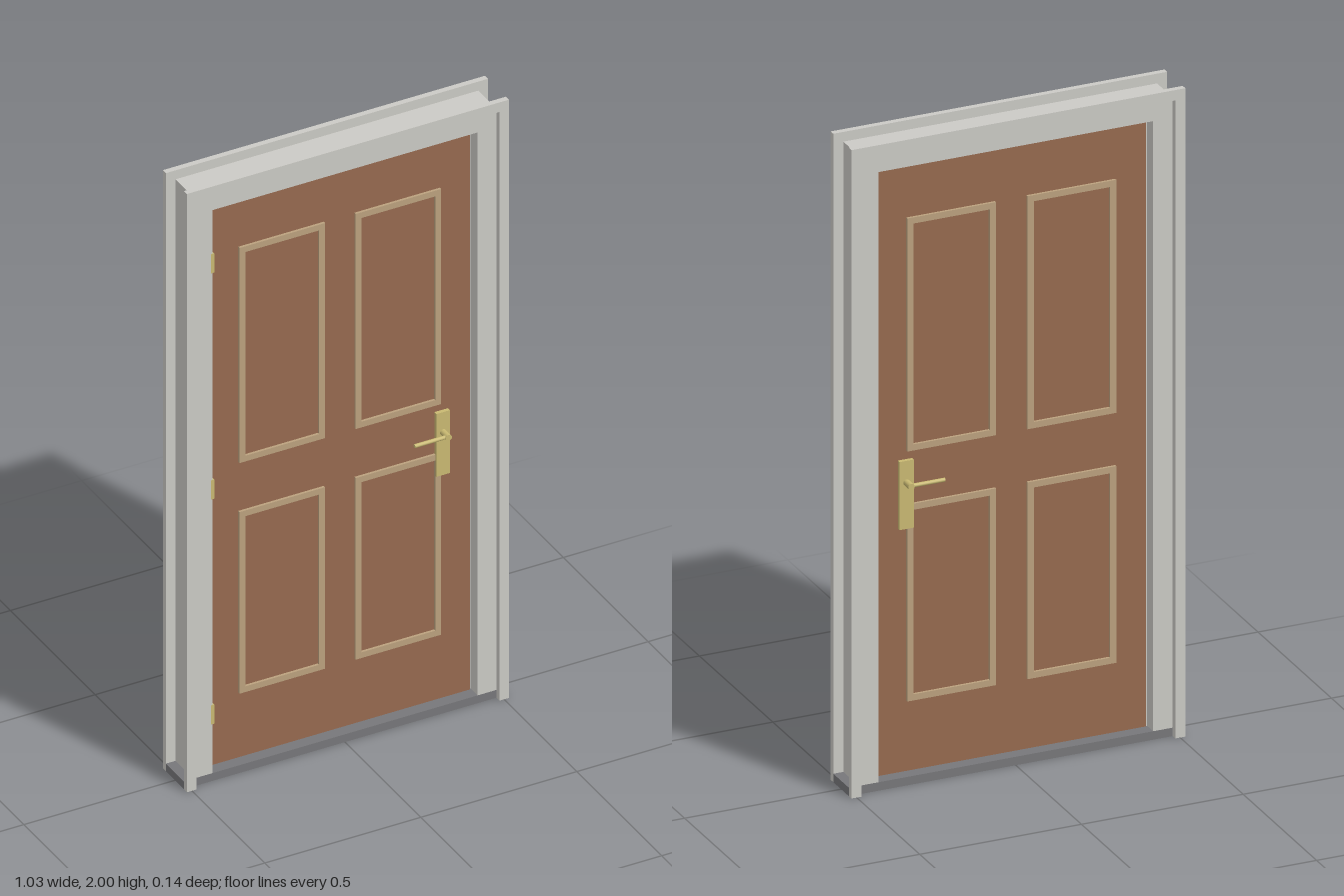
import * as THREE from 'three';

const material = (name, color) => {
  const m = new THREE.MeshStandardMaterial({ color });
  m.name = name;
  return m;
};

export function createModel() {
  const model = new THREE.Group();
  model.name = 'door';
  const paint = material('frame grey', 0xcbcac5);
  const wood = material('door brown', 0x966a4f);
  const beige = material('moulding beige', 0xbba17e);
  const brass = material('brass', 0xc9b972);
  const dark = material('sill grey', 0x77777a);

  // Box given by its limits along each axis
  const box = (name, mat, x0, x1, y0, y1, z0, z1, parent = model) => {
    const mesh = new THREE.Mesh(new THREE.BoxGeometry(x1 - x0, y1 - y0, z1 - z0), mat);
    mesh.position.set((x0 + x1) / 2, (y0 + y1) / 2, (z0 + z1) / 2);
    mesh.name = name;
    parent.add(mesh);
    return mesh;
  };

  const outer = 0.516, mid = 0.485, inner = 0.425;
  const depth = 0.053, trimDepth = 0.071, face = 0.018;

  // Sill and door leaf
  box('sill', dark, -outer, outer, 0, 0.026, -depth, depth);
  box('doorLeaf', wood, -0.419, 0.419, 0.028, 1.905, -face, face);

  // Jambs, with a narrow stop closing the gap beside the leaf
  for (const s of [-1, 1]) {
    const c = s * (mid + inner) / 2, h = (mid - inner) / 2;
    box('jamb', paint, c - h, c + h, 0.026, 1.97, -depth, depth);
    box('stop', paint, s * 0.422 - 0.003, s * 0.422 + 0.003, 0.026, 1.908, -0.012, 0.012);
  }
  box('headJamb', paint, -inner, inner, 1.908, 1.97, -depth, depth);

  // Moulding: rectangular ring standing on one face of the leaf
  const moulding = (x0, x1, y0, y1, parent) => {
    const w = 0.019;
    const rect = (P, a, b, c, d) => {
      const p = new P();
      p.moveTo(a, c).lineTo(b, c).lineTo(b, d).lineTo(a, d).closePath();
      return p;
    };
    const ring = rect(THREE.Shape, x0, x1, y0, y1);
    ring.holes.push(rect(THREE.Path, x0 + w, x1 - w, y0 + w, y1 - w));
    const mesh = new THREE.Mesh(
      new THREE.ExtrudeGeometry(ring, { depth: 0.008, bevelEnabled: false }), beige);
    mesh.position.z = face;
    mesh.name = 'panelMoulding';
    parent.add(mesh);
  };

  // Each side carries trim, mouldings and a handle
  for (const side of [1, -1]) {
    const group = new THREE.Group();
    group.name = side > 0 ? 'frontSide' : 'backSide';
    if (side < 0) group.rotation.y = Math.PI;
    model.add(group);

    for (const s of [-1, 1]) {
      const c = s * (outer + mid) / 2, h = (outer - mid) / 2;
      box('sideTrim', paint, c - h, c + h, 0, 2, depth, trimDepth, group);
    }
    box('headTrim', paint, -mid, mid, 1.968, 2, depth, trimDepth, group);

    for (const [y0, y1] of [[0.245, 0.852], [1.016, 1.735]]) {
      moulding(-0.323, -0.049, y0, y1, group);
      moulding(0.049, 0.323, y0, y1, group);
    }

    // Handle: back plate, spindle and lever pointing to the hinges
    const handle = new THREE.Group();
    handle.name = 'handle';
    group.add(handle);
    const x = side * 0.327;
    box('backPlate', brass, x - 0.022, x + 0.022, 0.78, 0.99, face, 0.03, handle);
    const spindle = new THREE.Mesh(new THREE.CylinderGeometry(0.01, 0.01, 0.035, 16), brass);
    spindle.rotation.x = Math.PI / 2;
    spindle.position.set(x, 0.923, 0.0465);
    spindle.name = 'spindle';
    handle.add(spindle);
    const lever = new THREE.Mesh(new THREE.CylinderGeometry(0.006, 0.006, 0.106, 12), brass);
    lever.rotation.z = Math.PI / 2;
    lever.position.set(x - side * 0.053, 0.923, 0.056);
    lever.name = 'lever';
    handle.add(lever);
  }

  // Hinges
  for (const y of [0.222, 0.974, 1.73]) {
    box('hinge', brass, -0.429, -0.419, y - 0.032, y + 0.032, 0.012, 0.0535);
  }
  return model;
}
